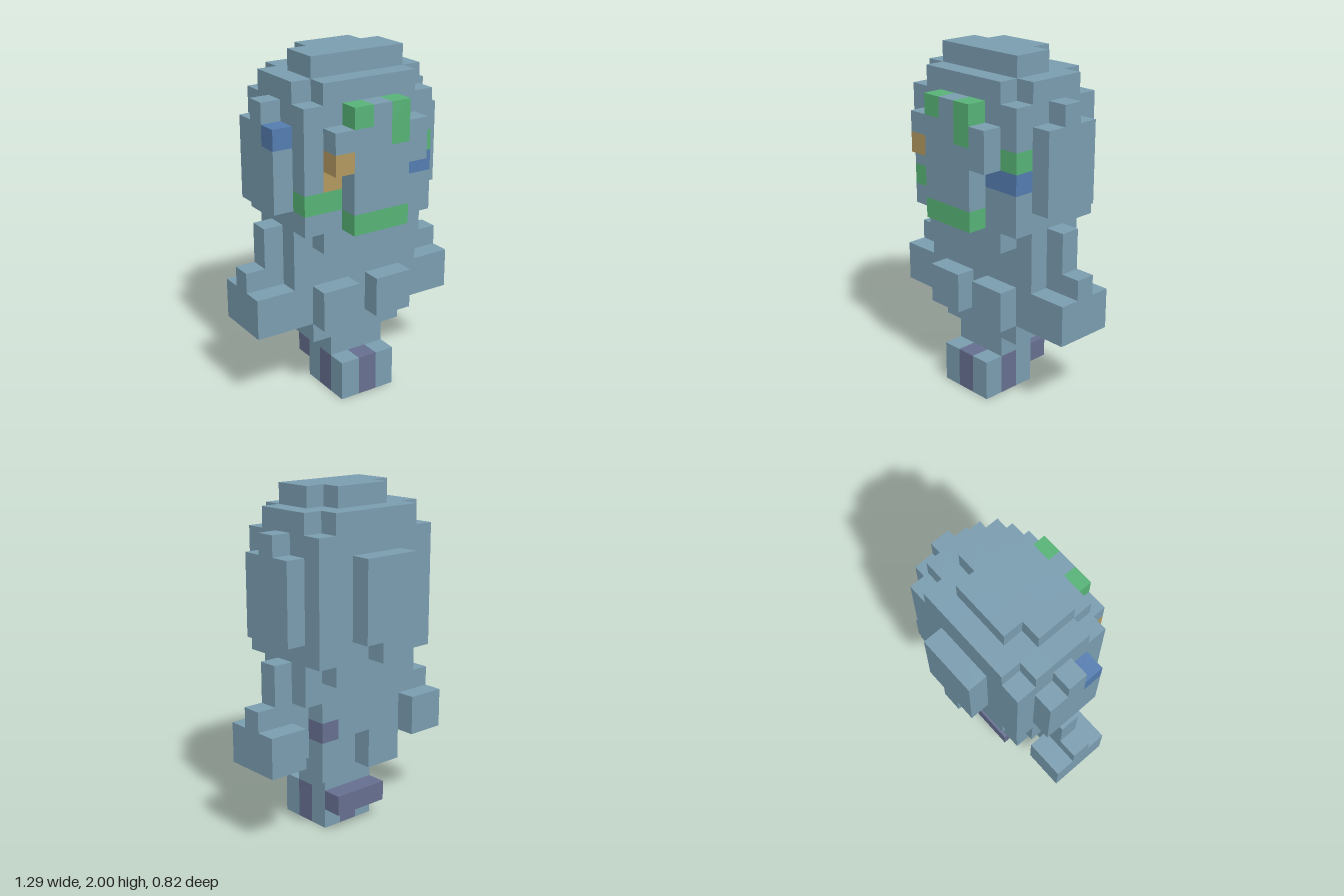
import * as THREE from 'three';

const U = 2 / 17; // edge of one block

const mats = {};
for (const [name, color] of Object.entries({
  slate: 0x7a9db0, green: 0x57b377, blue: 0x547cb0, orange: 0xb29860, purple: 0x666f90,
})) {
  mats[name] = new THREE.MeshStandardMaterial({ color });
  mats[name].name = name;
}

// Six face directions, each with two tangents so that u x v = n
const FACES = [];
for (let a = 0; a < 3; a++) {
  for (const s of [1, -1]) {
    const n = [0, 0, 0], u = [0, 0, 0], v = [0, 0, 0];
    n[a] = s;
    u[(a + 1) % 3] = s;
    v[(a + 2) % 3] = 1;
    FACES.push({ n, u, v });
  }
}

export function createModel() {
  const cells = new Map();
  const key = (x, y, z) => `${x},${y},${z}`;

  // Fill an inclusive range of blocks
  const fill = (part, x0, x1, y0, y1, z0, z1, mat = 'slate') => {
    for (let x = x0; x <= x1; x++)
      for (let y = y0; y <= y1; y++)
        for (let z = z0; z <= z1; z++) cells.set(key(x, y, z), { p: [x, y, z], part, mat });
  };
  // Fill the same range on both sides
  const pair = (part, x0, x1, ...rest) => {
    fill(part + 'Left', x0, x1, ...rest);
    fill(part + 'Right', -x1, -x0, ...rest);
  };

  // Foot with a cross of purple, heel and leg
  fill('foot', -1, 1, 0, 1, 0, 2);
  fill('foot', 0, 0, 0, 1, 0, 2, 'purple');
  fill('foot', -1, 1, 0, 1, 1, 1, 'purple');
  fill('heel', -1, 1, 1, 1, -1, -1, 'purple');
  fill('leg', -1, 1, 2, 2, 0, 1);

  // Body, with a slot low in the back
  fill('body', -2, 2, 3, 3, 0, 1);
  fill('body', -3, 3, 4, 8, 0, 1);
  fill('body', -2, 2, 5, 6, -1, -1);
  fill('body', -3, 3, 7, 8, -1, -1);
  pair('backFlap', 1, 2, 3, 4, -1, -1);
  fill('body', 2, 2, 5, 5, -1, -1, 'purple');

  // Arms, shoulders and front pads
  pair('arm', 4, 5, 4, 5, -1, 1);
  pair('arm', 4, 5, 6, 6, 0, 0);
  pair('shoulder', 4, 4, 7, 8, 0, 0);
  pair('frontPad', 1, 2, 4, 5, 2, 2);

  // Head and crown
  fill('head', -2, 2, 8, 8, -2, 2);
  fill('head', -3, 3, 9, 14, -2, 2);
  fill('head', -2, 2, 15, 15, -2, 2);
  fill('head', -3, 3, 15, 15, -1, 1);
  fill('crown', -2, 2, 16, 16, 0, 1);
  fill('crown', -1, 1, 16, 16, -1, -1);

  // Ears
  pair('ear', 4, 4, 10, 13, -1, 1);
  pair('ear', 4, 4, 14, 14, 0, 0);
  fill('earRight', -4, -4, 13, 13, 1, 1, 'blue');

  // Raised panel on the back of the head
  fill('backPanel', -1, 1, 10, 13, -3, -3);
  fill('backPanel', 0, 0, 9, 9, -3, -3);

  // Face plate and its coloured blocks
  fill('face', -1, 1, 9, 14, 3, 3);
  fill('face', -2, 2, 12, 13, 3, 3);
  fill('face', -1, 1, 9, 9, 3, 3, 'green');
  fill('face', -1, -1, 14, 14, 3, 3, 'green');
  fill('face', 1, 1, 13, 14, 3, 3, 'green');
  fill('face', -2, -2, 12, 12, 3, 3, 'orange');
  fill('head', -2, -2, 11, 11, 2, 2, 'orange');
  fill('head', -3, -2, 10, 10, 2, 2, 'green');
  fill('head', 3, 3, 12, 12, 2, 2, 'green');
  fill('head', 2, 3, 11, 11, 2, 2, 'blue');

  // Collect the outer faces of each part by colour
  const parts = new Map();
  for (const { p, part, mat } of cells.values()) {
    if (!parts.has(part)) parts.set(part, {});
    const byMat = parts.get(part);
    for (const { n, u, v } of FACES) {
      if (cells.has(key(p[0] + n[0], p[1] + n[1], p[2] + n[2]))) continue;
      const out = (byMat[mat] ??= { pos: [], nor: [] });
      for (const [a, b] of [[-1, -1], [1, -1], [1, 1], [-1, -1], [1, 1], [-1, 1]]) {
        for (let i = 0; i < 3; i++) {
          const c = p[i] + (i === 1 ? 0.5 : 0);
          out.pos.push((c + (n[i] + a * u[i] + b * v[i]) / 2) * U);
          out.nor.push(n[i]);
        }
      }
    }
  }

  const model = new THREE.Group();
  model.name = 'blockFigure';
  for (const [part, byMat] of parts) {
    const group = new THREE.Group();
    group.name = part;
    for (const [mat, { pos, nor }] of Object.entries(byMat)) {
      const geo = new THREE.BufferGeometry();
      geo.setAttribute('position', new THREE.Float32BufferAttribute(pos, 3));
      geo.setAttribute('normal', new THREE.Float32BufferAttribute(nor, 3));
      const mesh = new THREE.Mesh(geo, mats[mat]);
      mesh.name = `${part} ${mat}`;
      group.add(mesh);
    }
    model.add(group);
  }
  return model;
}
